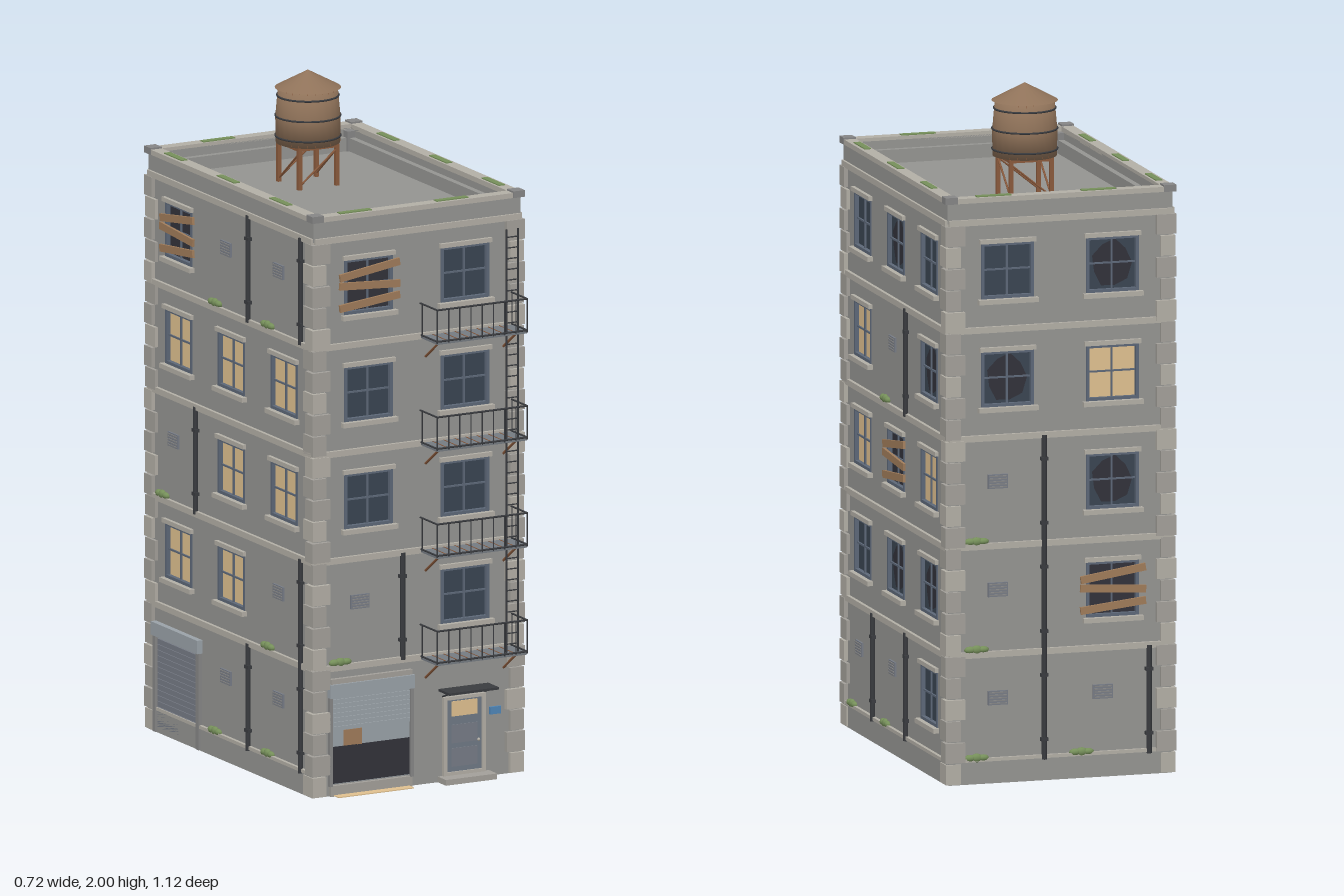
import * as THREE from 'three';

const mat = (color, side = THREE.FrontSide) => new THREE.MeshStandardMaterial({ color, side });
const M = {
  wall: mat(0x959592), roof: mat(0x949491), trim: mat(0xb3afa6), stone: mat(0xa3a09a), post: mat(0x868686),
  frame: mat(0x5d6878), blue: mat(0x3a4552), lit: mat(0xe0c190), dark: mat(0x32323a), iron: mat(0x3a3c40),
  deck: mat(0x757b82), wood: mat(0xa07c5a), tank: mat(0x8f7259), rust: mat(0x8a5a3c), moss: mat(0x76905a),
  vent: mat(0x777c86), shutter: mat(0x9aa2a8), door: mat(0x6f7985), sign: mat(0x4f86b8),
};
const HW = 0.34, HD = 0.495, T = 0.015, FLOOR = 0.32, ROOF = 1.66;
const floorY = (i) => 0.062 + FLOOR * i;

function add(parent, name, geo, material, x = 0, y = 0, z = 0) {
  const m = new THREE.Mesh(geo, material);
  m.name = name;
  m.position.set(x, y, z);
  parent.add(m);
  return m;
}
const box = (p, name, material, w, h, d, x, y, z) => add(p, name, new THREE.BoxGeometry(w, h, d), material, x, y, z);
function rod(p, name, material, a, b, r = 0.0025) {
  const A = new THREE.Vector3(...a), B = new THREE.Vector3(...b), dir = B.clone().sub(A);
  const m = add(p, name, new THREE.CylinderGeometry(r, r, dir.length(), 6), material);
  m.position.copy(A).add(B).multiplyScalar(0.5);
  m.quaternion.setFromUnitVectors(new THREE.Vector3(0, 1, 0), dir.normalize());
  return m;
}
function rect(path, x, y, w, h) {
  path.moveTo(x - w / 2, y - h / 2).lineTo(x + w / 2, y - h / 2);
  path.lineTo(x + w / 2, y + h / 2).lineTo(x - w / 2, y + h / 2).closePath();
  return path;
}
const frameGeo = (w, h, iw, ih, depth) => {
  const s = rect(new THREE.Shape(), 0, 0, w, h);
  s.holes.push(rect(new THREE.Path(), 0, 0, iw, ih));
  return new THREE.ExtrudeGeometry(s, { depth, bevelEnabled: false });
};
const ringGeo = (hw, hd, iw, id, height) => frameGeo(2 * hw, 2 * hd, 2 * iw, 2 * id, height).rotateX(-Math.PI / 2);
function group(parent, name, x = 0, y = 0, z = 0) {
  const g = new THREE.Group();
  g.name = name;
  g.position.set(x, y, z);
  parent.add(g);
  return g;
}

// Window in a recess: kind b = dark blue, l = lit, x = broken, p = boarded
const WW = 0.16, WH = 0.165;
function addWindow(p, kind, x, y) {
  const g = group(p, 'window', x, y);
  const pane = { b: M.blue, l: M.lit, x: M.dark, p: M.dark }[kind];
  box(g, 'glass', pane, WW, WH, 0.004, 0, 0, -T + 0.003);
  add(g, 'windowFrame', frameGeo(WW, WH, WW - 0.018, WH - 0.018, T), M.frame, 0, 0, -T + 0.003);
  box(g, 'mullion', M.frame, 0.005, WH, 0.005, 0, 0, -0.006);
  box(g, 'glazingBar', M.frame, WW, 0.005, 0.005, 0, 0.003, -0.006);
  box(g, 'sill', M.trim, 0.182, 0.014, 0.022, 0, -0.09, 0.006);
  box(g, 'lintel', M.trim, 0.172, 0.013, 0.014, 0, 0.088, 0.004);
  if (kind === 'x') {
    const s = rect(new THREE.Shape(), 0, 0, WW - 0.01, WH - 0.01), hole = new THREE.Path();
    for (let i = 0; i < 9; i++) {
      const a = (i / 9) * Math.PI * 2, r = i % 2 ? 0.066 : 0.074;
      hole[i ? 'lineTo' : 'moveTo'](Math.cos(a) * r * 0.85, Math.sin(a) * r);
    }
    s.holes.push(hole.closePath());
    add(g, 'brokenGlass', new THREE.ShapeGeometry(s), M.blue, 0, 0, -0.0085);
  }
  if (kind === 'p') [[0.045, 0.15], [0.0, -0.06], [-0.05, 0.11]].forEach(([by, tilt]) => {
    box(g, 'board', M.wood, 0.2, 0.022, 0.008, 0, by, 0.008).rotation.z = tilt;
  });
}

// Blind bay with a vent, a drainpipe and moss
function addBlindBay(p, x, y0) {
  const vent = group(p, 'vent', x - 0.03, y0 + 0.19);
  box(vent, 'ventPlate', M.vent, 0.06, 0.042, 0.008, 0, 0, 0.002);
  for (let i = -2; i <= 2; i++) box(vent, 'ventSlat', M.post, 0.054, 0.003, 0.005, 0, i * 0.008, 0.006);
  rod(p, 'drainpipe', M.iron, [x + 0.11, y0, 0.007], [x + 0.11, y0 + FLOOR, 0.007], 0.008);
  for (const t of [0.06, 0.25]) box(p, 'pipeClamp', M.iron, 0.022, 0.01, 0.016, x + 0.11, y0 + t, 0.006);
  for (const [dx, s] of [[-0.02, 0.8], [0, 1], [0.02, 0.75]]) {
    add(p, 'moss', new THREE.SphereGeometry(0.018, 10, 6), M.moss, x - 0.095 + dx, y0 + 0.015, 0.003).scale.set(1, 0.75 * s, 0.6);
  }
}

function addShop(p, x) {
  const g = group(p, 'shopfront', x);
  box(g, 'backing', M.shutter, 0.265, 0.26, 0.004, 0, 0.165, 0.002);
  box(g, 'darkOpening', M.dark, 0.262, 0.11, 0.006, 0, 0.092, 0.003);
  box(g, 'crate', M.wood, 0.06, 0.048, 0.006, -0.06, 0.17, 0.003);
  for (let i = 0; i < 7; i++) box(g, 'shutterSlat', M.shutter, 0.262, 0.012, 0.007, 0, 0.282 - i * 0.0135, 0.004);
  for (const s of [-1, 1]) box(g, 'shutterRail', M.post, 0.01, 0.3, 0.014, s * 0.134, 0.18, 0.006);
  box(g, 'shutterHousing', M.shutter, 0.28, 0.04, 0.02, 0, 0.315, 0.008);
  box(g, 'fascia', M.stone, 0.27, 0.015, 0.014, 0, 0.343, 0.006);
  box(g, 'threshold', M.stone, 0.27, 0.032, 0.016, 0, 0.016, 0.004);
  box(g, 'lightOnGround', M.lit, 0.25, 0.003, 0.03, 0, 0.003, 0.025);
}

function addDoor(p, x) {
  const g = group(p, 'entrance', x);
  add(g, 'doorFrame', frameGeo(0.14, 0.235, 0.115, 0.215, 0.01), M.trim, 0, 0.135, 0);
  box(g, 'door', M.door, 0.115, 0.225, 0.006, 0, 0.13, 0.002);
  box(g, 'transom', M.lit, 0.085, 0.045, 0.004, 0, 0.215, 0.005);
  for (const y of [0.07, 0.14]) box(g, 'doorPanel', M.vent, 0.085, 0.055, 0.005, 0, y, 0.005);
  add(g, 'knob', new THREE.SphereGeometry(0.005, 8, 6), M.trim, 0.046, 0.115, 0.009);
  box(g, 'step', M.stone, 0.17, 0.017, 0.05, 0, 0.0085, 0.025);
  box(g, 'canopy', M.iron, 0.165, 0.007, 0.065, 0, 0.275, 0.033);
  for (const s of [-1, 1]) rod(g, 'canopyBracket', M.iron, [s * 0.07, 0.255, 0.002], [s * 0.07, 0.273, 0.05]);
  box(g, 'buzzer', M.sign, 0.036, 0.022, 0.01, 0.103, 0.195, 0.003);
}

function addGarage(p, x) {
  const g = group(p, 'rollerDoor', x);
  for (let i = 0; i < 16; i++) box(g, 'rollerSlat', M.vent, 0.25, 0.0155, 0.008, 0, 0.018 + i * 0.017, 0.002);
  for (const s of [-1, 1]) box(g, 'doorRail', M.post, 0.016, 0.29, 0.014, s * 0.13, 0.147, 0.006);
  box(g, 'rollerHousing', M.shutter, 0.28, 0.04, 0.02, 0, 0.31, 0.008);
}

// One wall in its own frame: x to the viewer's right, z outward
function addFacade(parent, name, angle, halfWidth, dist, columns, rows, plinth) {
  const turn = group(parent, name);
  turn.rotation.y = angle;
  const g = group(turn, name + 'Face', 0, 0, dist);
  const shape = rect(new THREE.Shape(), 0, ROOF / 2, halfWidth * 2, ROOF);
  rows.forEach((row, i) => [...row].forEach((kind, c) => {
    const x = columns[c], y = floorY(i) + 0.173;
    if ('blxp'.includes(kind)) {
      shape.holes.push(rect(new THREE.Path(), x, y, WW, WH));
      addWindow(g, kind, x, y);
    } else if (kind === 'v') addBlindBay(g, x, floorY(i));
    else if (kind === 's') addShop(g, x + 0.005);
    else if (kind === 'd') addDoor(g, x - 0.005);
    else addGarage(g, x);
  }));
  add(g, 'wall', new THREE.ExtrudeGeometry(shape, { depth: T, bevelEnabled: false }), M.wall, 0, 0, -T);
  for (let i = 1; i <= 5; i++) box(g, 'stringCourse', M.trim, halfWidth * 2, 0.018, 0.014, 0, floorY(i), 0.003);
  if (plinth) {
    box(g, 'plinth', M.wall, halfWidth * 2, 0.066, 0.012, 0, 0.033, 0);
    box(g, 'plinthCap', M.trim, halfWidth * 2, 0.01, 0.016, 0, 0.071, 0.002);
  }
  for (const x of columns) box(g, 'copingMoss', M.moss, 0.105, 0.004, 0.02, x - 0.04, 1.736, -0.01);
}

// Fire escape: iron balconies, braces and one ladder
function addFireEscape(parent) {
  const g = group(parent, 'fireEscape');
  const x0 = 0.01, x1 = 0.308, z0 = 0.455, z1 = 0.557;
  for (let i = 1; i <= 4; i++) {
    const y = floorY(i) - 0.002, top = y + 0.1;
    box(g, 'balconyDeck', M.deck, x1 - x0, 0.007, z1 - z0, (x0 + x1) / 2, y, (z0 + z1) / 2);
    for (let k = 1; k < 8; k++) box(g, 'deckSlat', M.rust, 0.002, 0.002, z1 - z0, x0 + k * 0.037, y + 0.004, (z0 + z1) / 2);
    for (const h of [top, y + 0.006]) {
      rod(g, 'rail', M.iron, [x0, h, z1], [x1, h, z1], 0.003);
      for (const x of [x0, x1]) rod(g, 'sideRail', M.iron, [x, h, z0], [x, h, z1], 0.003);
    }
    for (let k = 0; k <= 8; k++) {
      const x = x0 + (k * (x1 - x0)) / 8;
      rod(g, 'baluster', M.iron, [x, y, z1], [x, top, z1], 0.002);
    }
    for (const x of [x0, x1]) rod(g, 'sideBaluster', M.iron, [x, y, z0 + 0.01], [x, top, z0 + 0.01], 0.002);
    for (const x of [x0 + 0.02, x1 - 0.02]) rod(g, 'brace', M.rust, [x, y - 0.062, z0 - 0.005], [x, y, z1 - 0.02], 0.004);
  }
  for (const x of [0.25, 0.288]) rod(g, 'ladderRail', M.iron, [x, 0.385, 0.538], [x, 1.65, 0.538], 0.0025);
  for (let y = 0.41; y < 1.64; y += 0.032) rod(g, 'rung', M.iron, [0.25, y, 0.538], [0.288, y, 0.538], 0.002);
}

function addWaterTower(parent) {
  const g = group(parent, 'waterTower', 0, 0, -0.205);
  for (const x of [-0.062, 0.062]) for (const z of [-0.062, 0.062]) box(g, 'leg', M.rust, 0.012, 0.13, 0.012, x, 1.72, z);
  for (const s of [-0.062, 0.062]) {
    rod(g, 'crossBrace', M.rust, [-0.062, 1.67, s], [0.062, 1.77, s], 0.003);
    rod(g, 'crossBrace', M.rust, [s, 1.67, -0.062], [s, 1.77, 0.062], 0.003);
  }
  box(g, 'platform', M.rust, 0.136, 0.01, 0.136, 0, 1.78, 0);
  const profile = [[0, 1.785], [0.094, 1.785], [0.095, 1.86], [0.087, 1.95], [0, 1.95]].map((q) => new THREE.Vector2(...q));
  add(g, 'tank', new THREE.LatheGeometry(profile, 24), M.tank);
  for (let i = 0; i < 24; i++) {
    const a = (i / 24) * Math.PI * 2;
    rod(g, 'staveJoint', M.rust, [Math.sin(a) * 0.0935, 1.787, Math.cos(a) * 0.0935], [Math.sin(a) * 0.0865, 1.95, Math.cos(a) * 0.0865], 0.001);
  }
  for (const [y, r] of [[1.805, 0.095], [1.865, 0.095], [1.925, 0.09]]) {
    add(g, 'hoop', new THREE.TorusGeometry(r, 0.003, 6, 32), M.iron, 0, y).rotation.x = Math.PI / 2;
  }
  add(g, 'conicalRoof', new THREE.ConeGeometry(0.097, 0.052, 24), M.tank, 0, 1.974);
}

export function createModel() {
  const model = new THREE.Group();
  model.name = 'apartmentBuilding';
  const b = group(model, 'building', 0, 0, -0.045);
  box(b, 'core', M.roof, 2 * (HW - T), ROOF, 2 * (HD - T), 0, ROOF / 2, 0);

  const two = [-0.16, 0.16], three = [-0.317, 0, 0.317];
  addFacade(b, 'front', 0, HW, HD, two, ['sd', 'vb', 'bb', 'bb', 'pb'], false);
  addFacade(b, 'leftSide', Math.PI / 2, HD, HW, three, ['vvb', 'bxx', 'lpl', 'lvx', 'bxb'], true);
  addFacade(b, 'back', Math.PI, HW, HD, two, ['vv', 'vp', 'vx', 'xl', 'bx'], true);
  addFacade(b, 'rightSide', -Math.PI / 2, HD, HW, three, ['gvv', 'llv', 'vll', 'lll', 'pvv'], true);

  // Parapet with coping, inner ledge and corner posts
  add(b, 'parapet', ringGeo(HW + 0.003, HD + 0.003, 0.313, 0.47, 0.065), M.wall, 0, ROOF, 0);
  add(b, 'coping', ringGeo(0.35, 0.506, 0.313, 0.47, 0.015), M.trim, 0, 1.72, 0);
  add(b, 'innerLedge', ringGeo(0.314, 0.471, 0.295, 0.452, 0.04), M.wall, 0, ROOF, 0);
  for (const sx of [-1, 1]) for (const sz of [-1, 1]) {
    box(b, 'copingCorner', M.post, 0.038, 0.02, 0.038, sx * 0.333, 1.73, sz * 0.489);
    box(b, 'innerPost', M.post, 0.026, 0.06, 0.026, sx * 0.301, 1.69, sz * 0.458);
    // Corner stones, long and short in turn
    for (let i = 0; i < 26; i++) {
      const w = i % 2 ? 0.06 : 0.045, d = i % 2 ? 0.045 : 0.06, o = i % 2 ? 0.352 : 0.35;
      box(b, 'cornerStone', i % 3 ? M.stone : M.trim, w, 0.059, d, sx * (o - w / 2), 0.032 + i * 0.0637, sz * (o + 0.156 - d / 2));
    }
  }
  addFireEscape(model);
  addWaterTower(model);
  return model;
}
